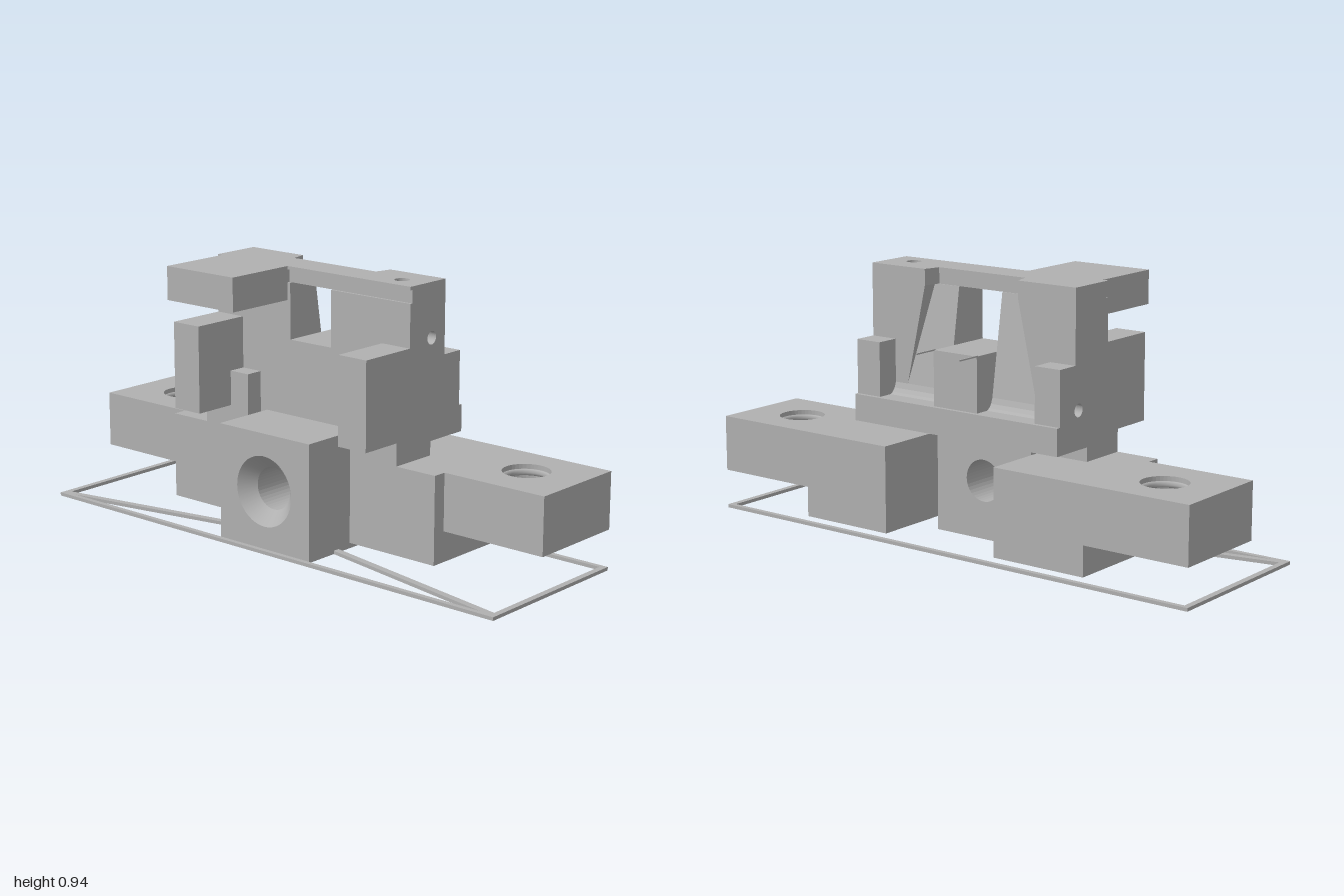
import * as THREE from 'three';

export function createModel() {
  const model = new THREE.Group();
  model.name = 'printedCarriage';
  const grey = new THREE.MeshStandardMaterial({ color: 0xb0b0b0, side: THREE.DoubleSide });
  grey.name = 'grey plastic';

  const add = (name, geo) => {
    const m = new THREE.Mesh(geo, grey);
    m.name = name;
    model.add(m);
    return m;
  };
  // Box from its limits on each axis
  const box = (name, x0, x1, y0, y1, z0, z1) =>
    add(name, new THREE.BoxGeometry(x1 - x0, y1 - y0, z1 - z0)
      .translate((x0 + x1) / 2, (y0 + y1) / 2, (z0 + z1) / 2));
  // Shape from points, with round holes given as [x, y, radius]
  const outline = (pts, holes = []) => {
    const s = new THREE.Shape(pts.map(p => new THREE.Vector2(p[0], p[1])));
    for (const [x, y, r] of holes) s.holes.push(new THREE.Path().absarc(x, y, r, 0, Math.PI * 2, true));
    return s;
  };
  const extrude = (shape, depth) =>
    new THREE.ExtrudeGeometry(shape, { depth, bevelEnabled: false, curveSegments: 20 });
  // Extrusions along x (points z,y), y (points x,z) and z (points x,y)
  const alongX = (name, pts, x0, x1, holes = []) =>
    add(name, extrude(outline(pts.map(([z, y]) => [-z, y]), holes.map(([z, y, r]) => [-z, y, r])), x1 - x0)
      .rotateY(Math.PI / 2).translate(x0, 0, 0));
  const alongY = (name, pts, y0, y1, holes = []) =>
    add(name, extrude(outline(pts.map(([x, z]) => [x, -z]), holes.map(([x, z, r]) => [x, -z, r])), y1 - y0)
      .rotateX(-Math.PI / 2).translate(0, y0, 0));
  const alongZ = (name, pts, z0, z1, holes = []) =>
    add(name, extrude(outline(pts, holes), z1 - z0).translate(0, 0, z0));
  const rect = (a0, a1, b0, b1) => [[a0, b0], [a1, b0], [a1, b1], [a0, b1]];

  // Thin base frame with front braces
  box('frameFront', -1, 1, 0, 0.012, 0.3, 0.318);
  box('frameBack', -1, 1, 0, 0.012, -0.318, -0.3);
  for (const s of [-1, 1]) {
    box('frameSide', s * 0.989 - 0.011, s * 0.989 + 0.011, 0, 0.012, -0.318, 0.318);
    alongY('frameBrace', [[s * 0.19, 0.13], [s * 0.99, 0.285], [s * 0.99, 0.31], [s * 0.19, 0.155]], 0, 0.012);
  }

  // Centre block with countersunk bore
  const face = rect(-0.205, 0.205, 0, 0.415);
  alongZ('centreBlock', face, -0.07, 0.235, [[0, 0.21, 0.075]]);
  alongZ('centreBlockFront', face, 0.235, 0.285, [[0, 0.21, 0.125]]);
  add('countersink', new THREE.CylinderGeometry(0.125, 0.075, 0.05, 40, 1, true)
    .rotateX(Math.PI / 2).translate(0, 0.21, 0.26));

  // Side profile of the body ends: upright plate, rear ear and ledge
  const endProfile = [[0.045, 0.395], [-0.24, 0.395], [-0.24, 0.49], [-0.225, 0.49],
    [-0.225, 0.683], [-0.14, 0.683], [-0.14, 0.885], [0.045, 0.885]];
  // Side profile of the sloped wall with a filleted trough
  const slopeProfile = [[0.045, 0.395], [-0.24, 0.395], [-0.24, 0.49], [-0.17, 0.49],
    [-0.157, 0.497], [-0.147, 0.51], [-0.14, 0.53], [-0.085, 0.885], [0.045, 0.885]];

  for (const s of [-1, 1]) {
    const span = (a, b) => (s > 0 ? [a, b] : [-b, -a]);

    // Mounting arms with threaded bores
    box('armInner', ...span(0.235, 0.6), 0.035, 0.345, -0.318, 0.11);
    alongY('armOuter', rect(...span(0.6, 1), -0.318, 0.06), 0.143, 0.345, [[s * 0.79, -0.135, 0.082]]);
    for (let i = 0; i < 5; i++) {
      add('thread', new THREE.TorusGeometry(0.083, 0.012, 6, 28)
        .rotateX(Math.PI / 2).translate(s * 0.79, 0.17 + i * 0.037, -0.135));
    }

    // Body shoulders and forward posts
    box('shoulder', ...span(0.235, 0.437), 0.345, 0.55, -0.07, 0.11);
    box('frontPost', ...span(0.318, 0.437), 0.425, 0.735, 0.04, 0.268);

    // Body ends, each with a small cross hole
    alongX('bodyEnd', endProfile, ...span(0.335, 0.437),
      [s > 0 ? [-0.07, 0.752, 0.023] : [-0.12, 0.53, 0.023]]);
    // Sloped wall beside the window and flared pocket cheek
    alongX('pocketWall', slopeProfile, ...span(0.093, 0.335));
    alongZ('pocketCheek', [[s * 0.2, 0.885], [s * 0.28, 0.53], [s * 0.335, 0.53], [s * 0.335, 0.885]], -0.14, -0.06);
    // Thin whiskers behind the tongue
    box('whisker', s * 0.092 - 0.002, s * 0.092 + 0.002, 0.683, 0.688, -0.318, -0.22);
  }

  // Wall below the window and rear tongue
  box('windowSill', -0.093, 0.093, 0.395, 0.685, -0.225, 0.045);
  box('ledgeMiddle', -0.093, 0.093, 0.395, 0.49, -0.24, -0.2);

  // Top rail, notched at the back, with a groove under its front lip
  const rail = zf => [[-0.437, -0.14], [-0.2, -0.14], [-0.185, -0.08], [0.185, -0.08],
    [0.2, -0.14], [0.437, -0.14], [0.437, zf], [-0.437, zf]];
  const pin = [[0.34, -0.03, 0.026]];
  alongY('topRail', rail(0.035), 0.885, 0.93, pin);
  alongY('topLip', rail(0.045), 0.93, 0.942, pin);

  // Overhanging block at the upper front
  box('overhang', -0.415, -0.105, 0.823, 0.942, 0.03, 0.318);

  return model;
}
